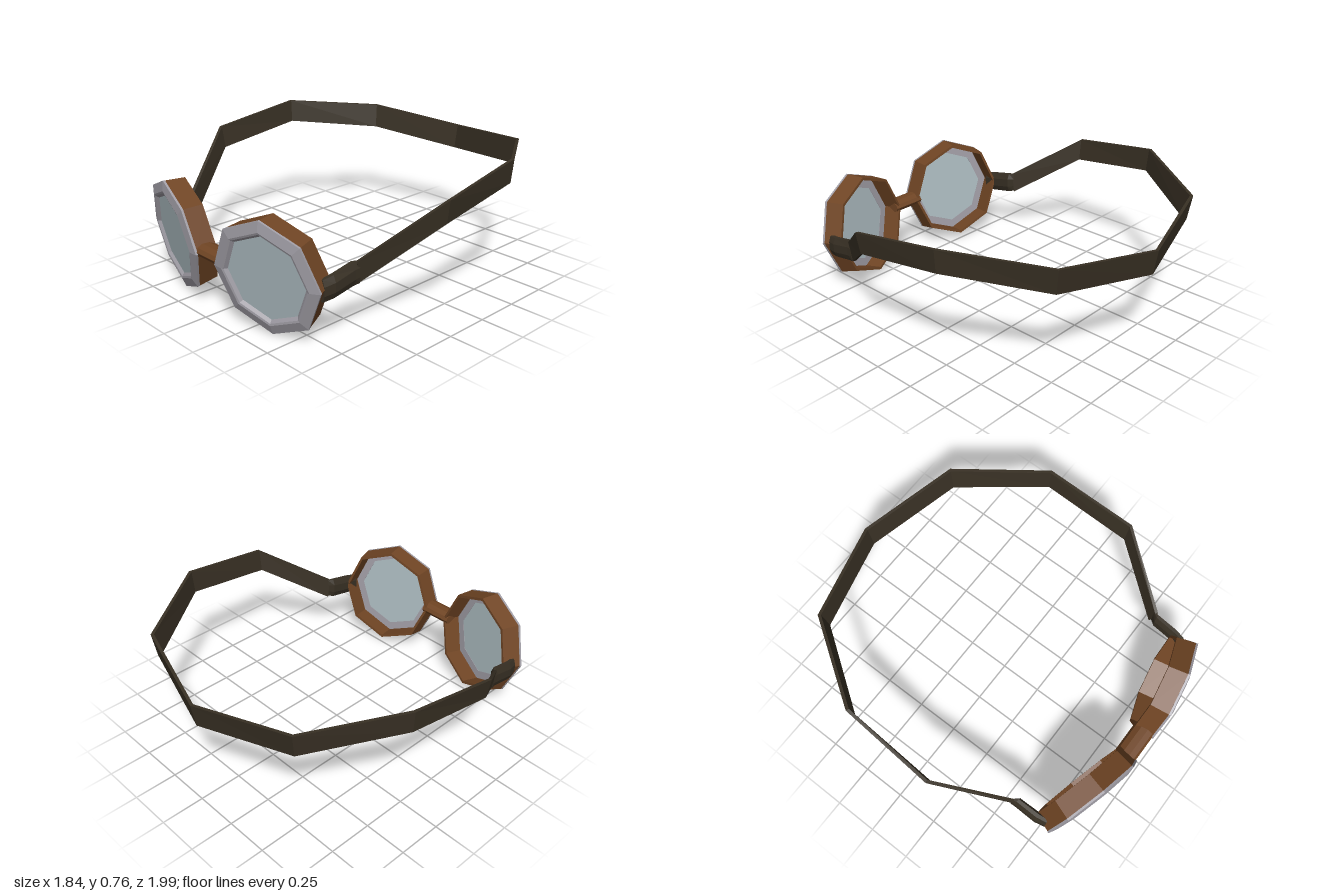
import * as THREE from 'three';

const mat = (name, color) => {
  const m = new THREE.MeshStandardMaterial({ color });
  m.name = name;
  return m;
};

// Faceted normals for a low-poly look
function faceted(geo) {
  const g = geo.index ? geo.toNonIndexed() : geo;
  g.computeVertexNormals();
  return g;
}

// Skin a list of equal-length rings and cap both ends
function loft(rings) {
  const n = rings[0].length, pos = [], idx = [];
  rings.forEach(r => r.forEach(p => pos.push(...p)));
  for (let i = 0; i < rings.length - 1; i++) {
    for (let j = 0; j < n; j++) {
      const a = i * n + j, b = i * n + (j + 1) % n;
      idx.push(a, b, b + n, a, b + n, a + n);
    }
  }
  const e = (rings.length - 1) * n;
  for (let k = 1; k < n - 1; k++) idx.push(0, k + 1, k, e, e + k, e + k + 1);
  const g = new THREE.BufferGeometry();
  g.setAttribute('position', new THREE.Float32BufferAttribute(pos, 3));
  g.setIndex(idx);
  return faceted(g);
}

// Eight-sided closed ring from [radius, depth] points, facing +z
function octRing(profile) {
  const pts = [...profile, profile[0]].map(([r, d]) => new THREE.Vector2(r, d));
  return faceted(new THREE.LatheGeometry(pts, 8).rotateX(Math.PI / 2));
}

export function createModel() {
  const leather = mat('brown leather', 0x704524);
  const metal = mat('grey metal', 0xa09da5);
  const glass = mat('pale glass', 0xacbbc0);
  const band = mat('dark strap', 0x383024);

  const model = new THREE.Group();
  model.name = 'goggles';
  const add = (parent, name, geo, material) => {
    const m = new THREE.Mesh(geo, material);
    m.name = name;
    parent.add(m);
    return m;
  };

  for (const s of [1, -1]) {
    const side = s > 0 ? 'left' : 'right';

    // Eye cup, turned outward and tipped down
    const eye = new THREE.Group();
    eye.name = side + 'Eyepiece';
    eye.position.set(s * 0.39, 0.32, 0.92);
    eye.rotation.set(0.14, s * 0.245, 0, 'YXZ');
    add(eye, side + 'Cup', octRing([[0.284, -0.135], [0.3, -0.135], [0.316, -0.022], [0.285, -0.022]]), leather);
    add(eye, side + 'Rim', octRing([[0.234, -0.026], [0.317, -0.026], [0.318, -0.014], [0.262, 0], [0.25, -0.003], [0.234, -0.018]]), metal);
    const lens = new THREE.CylinderGeometry(0.238, 0.238, 0.006, 8).rotateX(Math.PI / 2);
    add(eye, side + 'Lens', faceted(lens), glass).position.z = -0.021;
    model.add(eye);

    // Strap sleeve: stations of [x, y, z, half width, half height]
    const stations = [
      [0.655, 0.316, 0.79, 0.022, 0.058],
      [0.665, 0.325, 0.73, 0.026, 0.06],
      [0.668, 0.35, 0.6, 0.023, 0.062],
      [0.683, 0.353, 0.57, 0.01, 0.058],
    ];
    const rings = stations.map(([x, y, z, w, h]) => {
      const ring = Array.from({ length: 8 }, (_, k) => {
        const a = -(k + 0.5) * Math.PI / 4;
        return [s * (x + Math.cos(a) * w * 1.08), y + Math.sin(a) * h * 1.08, z];
      });
      return s > 0 ? ring : ring.reverse();
    });
    add(model, side + 'StrapSleeve', loft(rings), band);
  }

  // Nose bridge
  const bridge = new THREE.CylinderGeometry(1, 1, 0.2, 10).rotateZ(Math.PI / 2).scale(1, 0.036, 0.062);
  add(model, 'noseBridge', faceted(bridge), leather).position.set(0, 0.334, 0.914);

  // Head strap: top edge and bottom edge from the left sleeve to the back
  const half = [
    [[0.688, 0.41, 0.59], [0.682, 0.295, 0.57]],
    [[0.922, 0.685, 0.2], [0.902, 0.558, 0.195]],
    [[0.89, 0.765, -0.345], [0.878, 0.633, -0.34]],
    [[0.572, 0.71, -0.835], [0.56, 0.568, -0.815]],
    [[0, 0.65, -1], [0, 0.508, -0.977]],
  ];
  const flip = ([x, y, z]) => [-x, y, z];
  const path = [...half, ...half.slice(0, -1).reverse().map(p => p.map(flip))];
  const strapRings = path.map(([top, bottom], i) => {
    const a = path[Math.max(i - 1, 0)][0], b = path[Math.min(i + 1, path.length - 1)][0];
    const dx = b[0] - a[0], dz = b[2] - a[2], t = 0.018 / Math.hypot(dx, dz);
    const inward = ([x, y, z]) => [x + dz * t, y, z - dx * t];
    return [top, bottom, inward(bottom), inward(top)];
  });
  add(model, 'headStrap', loft(strapRings), band);

  return model;
}
